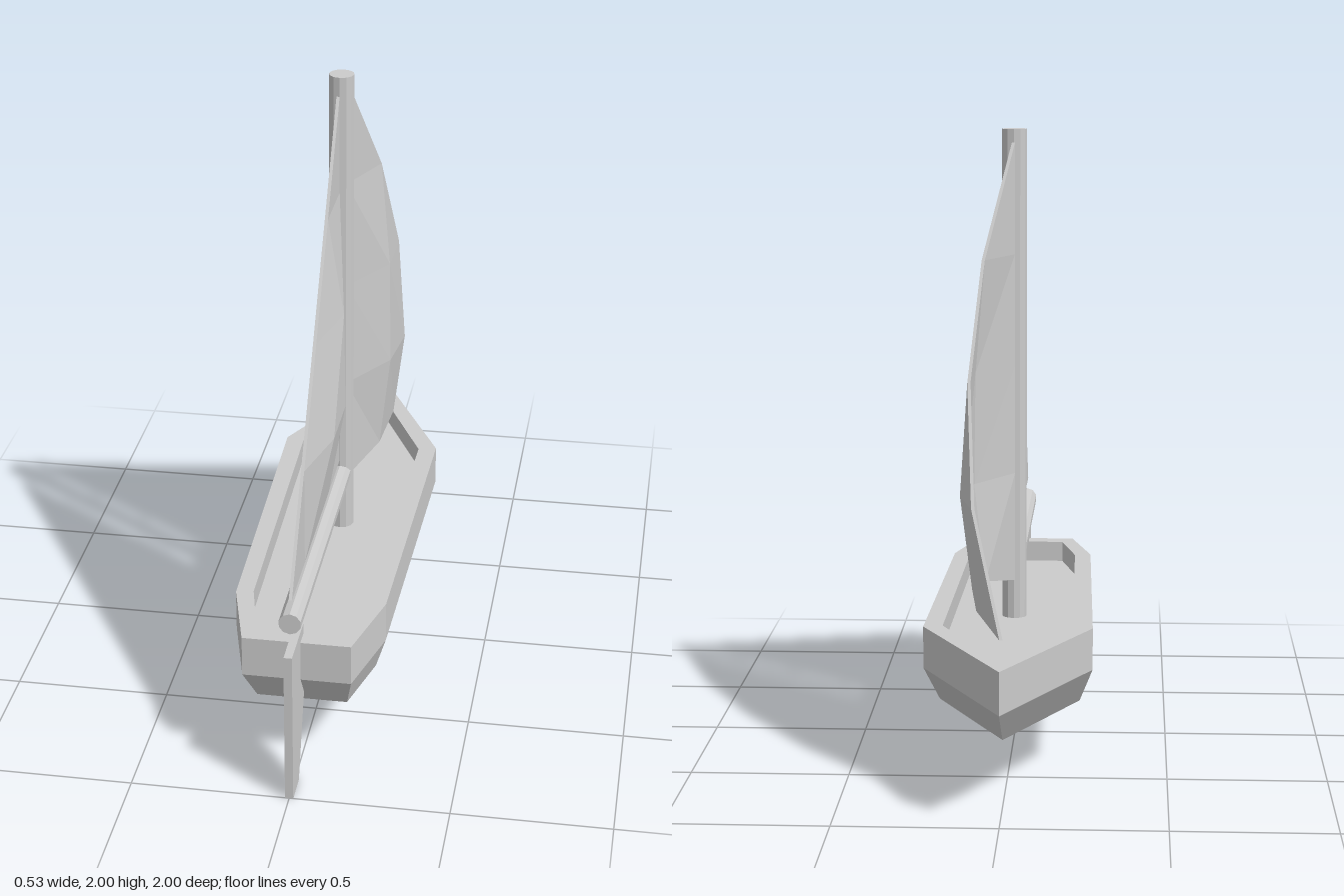
import * as THREE from 'three';

const material = () => new THREE.MeshStandardMaterial({ color: 0xcccccc, flatShading: true, side: THREE.DoubleSide });

// Flat-faceted geometry from a list of triangles (each three Vector3)
function fromTriangles(tris) {
  const g = new THREE.BufferGeometry().setFromPoints(tris.flat());
  g.computeVertexNormals();
  return g;
}

// Closed ring at height y from the bow point and the left-side points, mirrored
function ring(half, y, scale = 1, zFrom = 0, zTo = 0) {
  const left = half.map(([x, z]) => new THREE.Vector3(x * scale, y, (z - zFrom) * scale + zTo));
  const right = left.slice(1).reverse().map((p) => new THREE.Vector3(-p.x, p.y, p.z));
  return [...left, ...right];
}

function hullGeometry() {
  const outer = [[0, -1], [0.265, -0.47], [0.24, 0.59], [0.17, 0.855]];
  const inner = [[0, -0.89], [0.205, -0.455], [0.185, 0.58], [0.135, 0.795]];
  // keel, bilge, sides, gunwale, then down the inside to the deck
  const rings = [
    ring(outer, 0.115, 0.31, -0.0725, 0.145),
    ring(outer, 0.14, 0.595, -0.0725, 0.055),
    ring(outer, 0.21, 0.84, -0.0725, -0.02),
    ring(outer, 0.342),
    ring(outer, 0.475),
    ring(inner, 0.475),
    ring(inner, 0.405),
  ];
  const n = rings[0].length;
  const tris = [];
  for (let k = 0; k < rings.length - 1; k++) {
    for (let i = 0; i < n; i++) {
      const j = (i + 1) % n;
      const a = rings[k][i], b = rings[k][j], c = rings[k + 1][i], d = rings[k + 1][j];
      tris.push([b, a, c], [b, c, d]);
    }
  }
  // bottom and deck caps
  const bottom = rings[0], deck = rings[rings.length - 1];
  for (let i = 1; i < n - 1; i++) {
    tris.push([bottom[0], bottom[i], bottom[i + 1]], [deck[0], deck[i + 1], deck[i]]);
  }
  return fromTriangles(tris);
}

// Thin triangular sail on a lattice of 4 steps; bulge[j][i] is the sideways
// belly, footLift raises the bottom edge, dz is the signed step along the foot
function sailGeometry(z0, dz, y0, dy, bulge, footLift) {
  const N = 4, half = 0.005;
  const at = (i, j, side) => new THREE.Vector3(
    bulge[j][i] + side * half, y0 + j * dy + (j === 0 ? footLift[i] : 0), z0 + i * dz);
  const tris = [];
  const add = (p, q, r, side) => {
    const t = [p, q, r].map(([i, j]) => at(i, j, side));
    tris.push((side > 0) === (dz < 0) ? t : t.reverse());
  };
  for (const side of [1, -1]) {
    for (let j = 0; j < N; j++) {
      for (let i = 0; i + j < N; i++) {
        add([i, j], [i + 1, j], [i, j + 1], side);
        if (i + j < N - 1) add([i + 1, j], [i + 1, j + 1], [i, j + 1], side);
      }
    }
  }
  // edge walls along foot, outer edge and mast edge
  const edge = [];
  for (let i = 0; i < N; i++) edge.push([i, 0]);
  for (let i = 0; i < N; i++) edge.push([N - i, i]);
  for (let i = 0; i < N; i++) edge.push([0, N - i]);
  edge.forEach((p, k) => {
    const q = edge[(k + 1) % edge.length];
    const a = at(...p, 1), b = at(...q, 1), c = at(...p, -1), d = at(...q, -1);
    if (dz < 0) tris.push([a, c, d], [a, d, b]);
    else tris.push([a, d, c], [a, b, d]);
  });
  return fromTriangles(tris);
}

export function createModel() {
  const boat = new THREE.Group();
  boat.name = 'sailboat';
  const add = (name, geometry) => {
    const mesh = new THREE.Mesh(geometry, material());
    mesh.name = name;
    boat.add(mesh);
    return mesh;
  };

  add('hull', hullGeometry());

  // Mast stands on the deck
  add('mast', new THREE.CylinderGeometry(0.04, 0.04, 1.595, 12)).position.set(0, 1.2025, -0.027);

  // Boom runs aft from the mast
  const boom = add('boom', new THREE.CylinderGeometry(0.035, 0.035, 0.97, 10));
  boom.rotation.x = Math.PI / 2;
  boom.position.set(0, 0.605, 0.475);

  // Sails
  add('mainSail', sailGeometry(0.045, 0.225, 0.68, 0.3175,
    [[0, 0, 0, 0, 0], [0, 0.055, 0.055, 0], [0, 0.05, 0], [0, 0], [0]],
    [0, 0, 0, 0, 0]));
  add('foreSail', sailGeometry(-0.095, -0.1975, 0.54, 0.355,
    [[0, 0.085, 0.105, 0.08, 0], [0, 0.12, 0.142, 0.095], [0, 0.115, 0.118], [0, 0.085], [0]],
    [0, 0.04, 0.06, 0.04, 0]));

  // Rudder blade, drawn in (z, y) and turned to the centre plane
  const blade = new THREE.Shape([[0.8, 0.51], [0.8, 0.25], [0.9, 0], [1, 0], [1, 0.51]]
    .map(([z, y]) => new THREE.Vector2(-z, y)));
  const rudder = add('rudder', new THREE.ExtrudeGeometry(blade, { depth: 0.026, bevelEnabled: false }));
  rudder.rotation.y = Math.PI / 2;
  rudder.position.x = -0.013;

  return boat;
}
